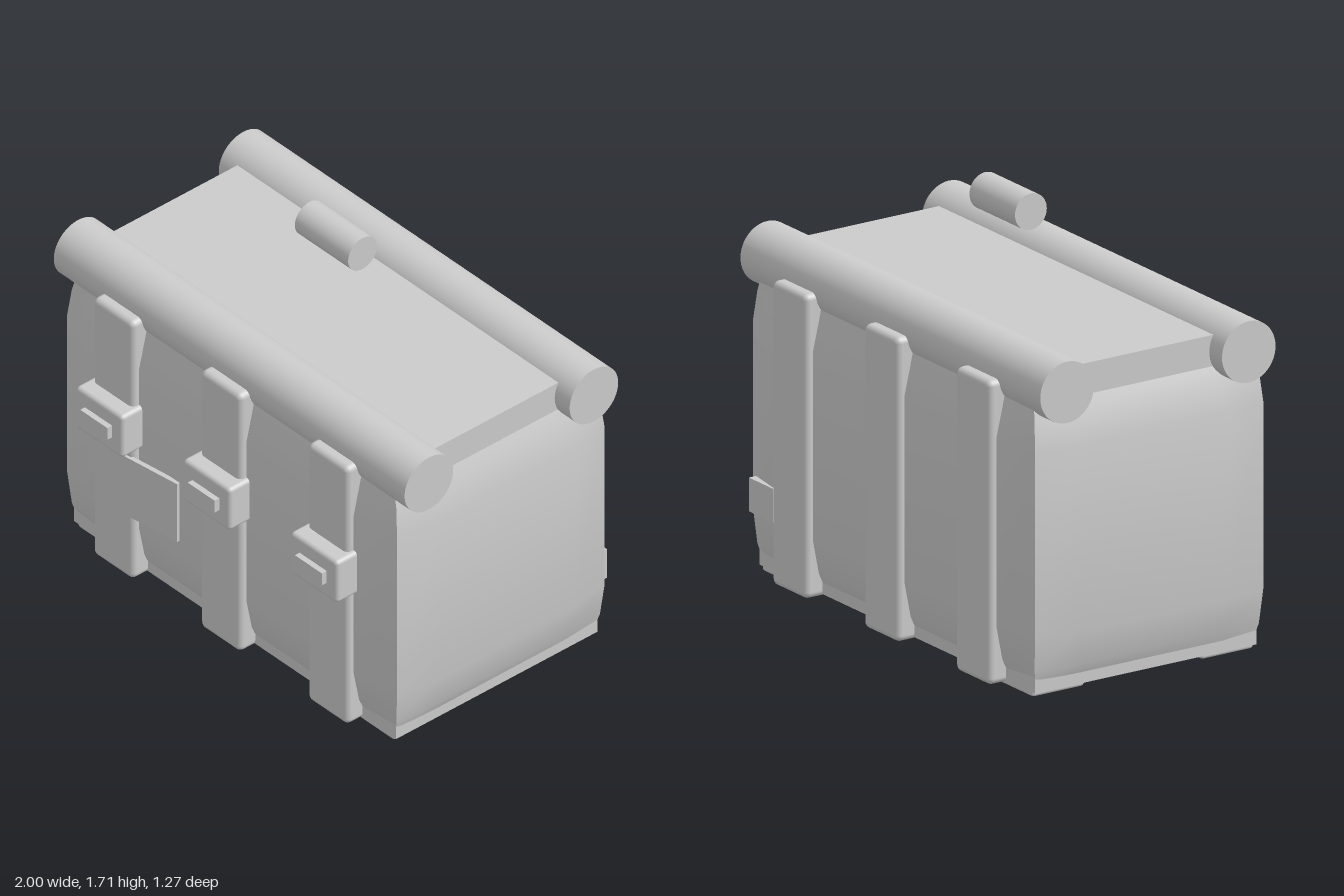
import * as THREE from 'three';
import { RoundedBoxGeometry } from 'three/addons/geometries/RoundedBoxGeometry.js';
import { toCreasedNormals } from 'three/addons/utils/BufferGeometryUtils.js';

const material = new THREE.MeshStandardMaterial({ color: 0xcccccc });

function add(parent, name, geometry, x, y, z) {
  const mesh = new THREE.Mesh(geometry, material);
  mesh.name = name;
  mesh.position.set(x, y, z);
  parent.add(mesh);
  return mesh;
}

// Box given by its limits on each axis; a radius rounds its edges
function block(parent, name, [x0, x1], [y0, y1], [z0, z1], radius = 0) {
  const size = [x1 - x0, y1 - y0, z1 - z0];
  const geometry = radius
    ? new RoundedBoxGeometry(...size, 3, radius)
    : new THREE.BoxGeometry(...size);
  return add(parent, name, geometry, (x0 + x1) / 2, (y0 + y1) / 2, (z0 + z1) / 2);
}

function roll(parent, name, radius, length, y, z) {
  const geometry = new THREE.CylinderGeometry(radius, radius, length, 48).rotateZ(Math.PI / 2);
  return add(parent, name, geometry, 0, y, z);
}

// Stuffed body: stacked rings whose four walls bulge between the corners
function bodyGeometry() {
  const midZ = -0.045;
  // height, corner x, corner half depth, bulge, inset of the bulged span
  const levels = [
    [0.07, 0.915, 0.505, 0.004, 0.2],
    [0.11, 0.925, 0.515, 0.012, 0.2],
    [0.25, 0.94, 0.525, 0.03, 0.18],
    [1.0, 0.94, 0.525, 0.03, 0.18],
    [1.12, 0.925, 0.515, 0.012, 0.18],
    [1.175, 0.91, 0.51, 0.005, 0.18],
  ];
  const positions = [], index = [], n = 12;
  for (const [y, x, d, b, s] of levels) {
    const ring = [
      [-x, d], [-x + s, d + b], [x - s, d + b],
      [x, d], [x + b, d - s], [x + b, s - d],
      [x, -d], [x - s, -d - b], [s - x, -d - b],
      [-x, -d], [-x - b, s - d], [-x - b, d - s],
    ];
    for (const [px, pz] of ring) positions.push(px, y, pz + midZ);
  }
  for (let l = 0; l < levels.length - 1; l++) {
    for (let i = 0; i < n; i++) {
      const a = l * n + i, b = l * n + (i + 1) % n;
      index.push(a, b, b + n, a, b + n, a + n);
    }
  }
  const top = (levels.length - 1) * n;
  for (let i = 1; i < n - 1; i++) {
    index.push(top, top + i, top + i + 1, 0, i + 1, i);
  }
  const geometry = new THREE.BufferGeometry();
  geometry.setAttribute('position', new THREE.Float32BufferAttribute(positions, 3));
  geometry.setIndex(index);
  return toCreasedNormals(geometry, 0.6);
}

export function createModel() {
  const model = new THREE.Group();
  model.name = 'bedrollPack';

  add(model, 'body', bodyGeometry(), 0, 0, 0);
  block(model, 'base', [-0.918, 0.918], [0.025, 0.1], [-0.555, 0.465]);

  // Lid with a long roll along each edge
  block(model, 'lid', [-0.915, 0.915], [1.17, 1.3], [-0.465, 0.375]);
  roll(model, 'frontRoll', 0.123, 2, 1.235, 0.372);
  roll(model, 'backRoll', 0.123, 2, 1.235, -0.463);

  // Small grip floating above the lid
  roll(model, 'grip', 0.073, 0.304, 1.638, -0.045);

  // Straps running down the front, under the base and up the back
  for (const x of [-0.612, 0, 0.612]) {
    const strap = new THREE.Group();
    strap.name = 'strap';
    strap.position.x = x;
    model.add(strap);
    const width = [-0.115, 0.115];
    block(strap, 'strapFront', width, [0.015, 1.232], [0.43, 0.543], 0.025);
    block(strap, 'strapBack', width, [0.015, 1.232], [-0.633, -0.52], 0.025);
    block(strap, 'strapBottom', width, [0.015, 0.1], [-0.633, 0.543], 0.025);
    block(strap, 'buckle', [-0.134, 0.134], [0.637, 0.835], [0.47, 0.613], 0.018);
    block(strap, 'buckleClip', [-0.077, 0.077], [0.71, 0.766], [0.58, 0.637]);
  }

  // Slanted patch on the front, small tag on the back
  const patch = block(model, 'frontPatch', [-0.625, -0.265], [0.32, 0.595], [0.525, 0.545]);
  patch.rotation.y = 0.12;
  block(model, 'backTag', [0.75, 0.912], [0.25, 0.385], [-0.608, -0.565]);

  // Corner feet
  for (const side of [-1, 1]) {
    for (const z of [0.342, -0.435]) {
      const foot = new RoundedBoxGeometry(0.24, 0.05, 0.24, 2, 0.012);
      add(model, 'foot', foot, side * 0.783, 0.03, z);
    }
  }

  return model;
}
